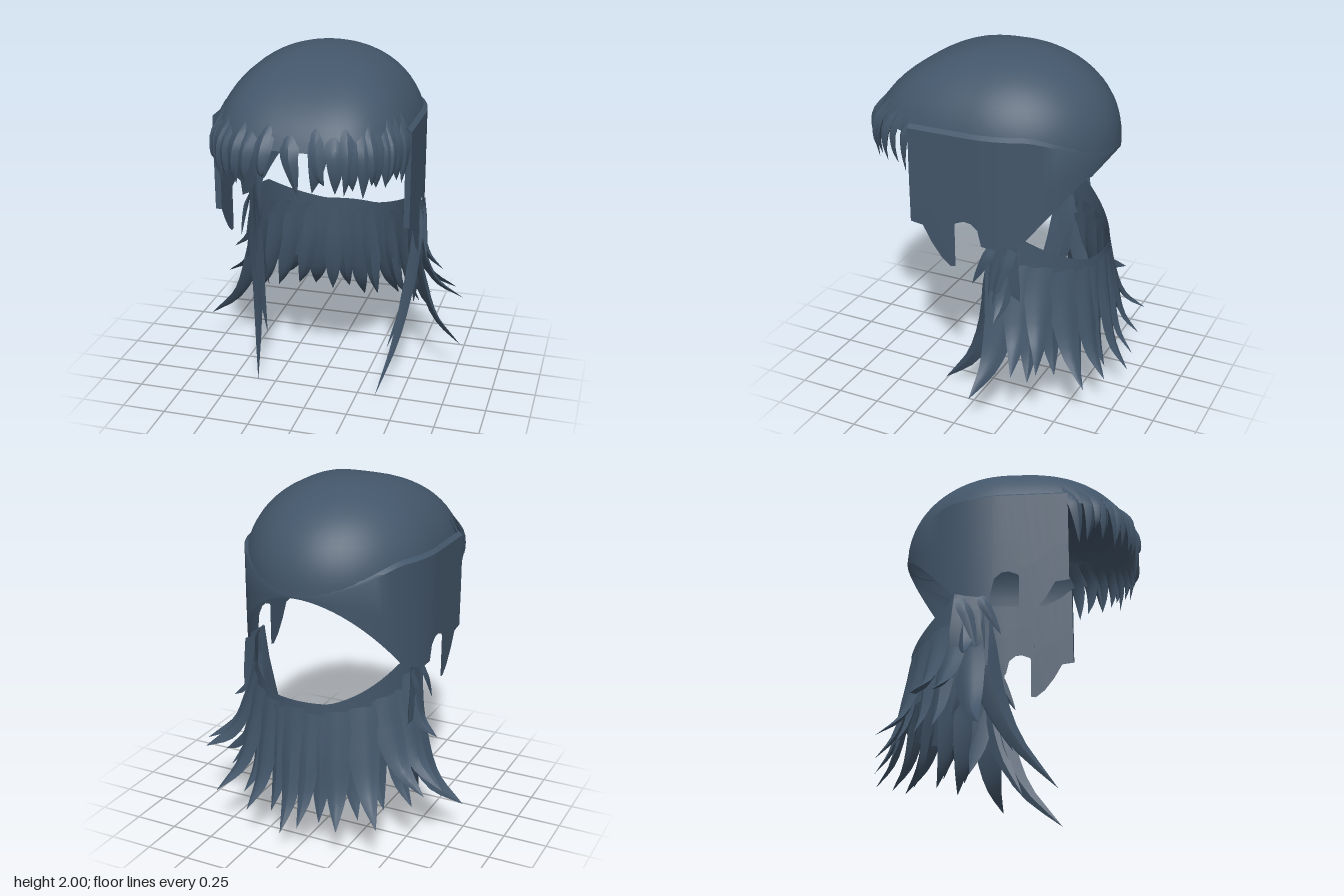
import * as THREE from 'three';
import { toCreasedNormals } from 'three/addons/utils/BufferGeometryUtils.js';

const V = (x, y, z) => new THREE.Vector3(x, y, z);
const { lerp, clamp } = THREE.MathUtils;
const hair = new THREE.MeshStandardMaterial({ color: 0x43566a, side: THREE.DoubleSide });
hair.name = 'slate blue hair';

// small seeded random
let seed = 7;
const rnd = () => (seed = (seed * 16807) % 2147483647) / 2147483647;

// head outline seen from above; angle 0 = front, +90 degrees = +x
function outline(a, k, y) {
  const s = Math.sin(a), c = Math.cos(a), n = c > 0 ? 3 : 2;
  return V(0.55 * k * Math.sign(s) * Math.abs(s) ** (2 / n), y,
    (c > 0 ? 0.735 : 0.62) * k * Math.sign(c) * Math.abs(c) ** (2 / n));
}
// dome roundness: fuller at the sides, flatter towards the forehead
const power = c => 2.15 - (c > 0 ? 0.25 : 0.05) * c * c;
function domeScale(y, c) {
  const p = power(c);
  return (1 - clamp((y - 1.5) / 0.5, 0, 1) ** p) ** (1 / p);
}
const domePoint = (a, y, k) => outline(a, k * domeScale(y, Math.cos(a)), y);

// surface through rows of points
function sheet(rows, crease = 0.7) {
  const pos = [], idx = [], w = rows[0].length;
  rows.forEach(r => r.forEach(p => pos.push(p.x, p.y, p.z)));
  for (let i = 0; i < rows.length - 1; i++) for (let j = 0; j < w - 1; j++) {
    const a = i * w + j, b = a + w;
    idx.push(a, b, a + 1, b, b + 1, a + 1);
  }
  const g = new THREE.BufferGeometry();
  g.setAttribute('position', new THREE.Float32BufferAttribute(pos, 3));
  g.setIndex(idx);
  return toCreasedNormals(g, crease);
}

// pointed lock of hair, thin at the root, with a ridged lens section swept along a curve
function lock(points, width, thick, out, taper) {
  const curve = new THREE.CatmullRomCurve3(points), rows = [], N = 10;
  for (let i = 0; i <= N; i++) {
    const t = i / N, c = curve.getPoint(t), tan = curve.getTangent(t);
    const side = tan.clone().cross(out).normalize();
    const nor = side.clone().cross(tan).normalize();
    const f = Math.max(0.004, 1 - t ** taper);
    const w = f * Math.min(1, 0.7 + t) * width / 2, h = f * Math.min(1, 0.1 + 2.5 * t) * thick / 2;
    const ring = [[1, 0], [0.45, 0.7], [0, 1], [-0.4, 0.6], [-1, 0], [0, -0.7], [1, 0]];
    rows.push(ring.map(([u, v]) => c.clone().addScaledVector(side, u * w).addScaledVector(nor, v * h)));
  }
  return sheet(rows, 0.6);
}

export function createModel() {
  const root = new THREE.Group();
  root.name = 'hair';
  const group = name => { const g = new THREE.Group(); g.name = name; root.add(g); return g; };
  const add = (parent, name, geo) => {
    const m = new THREE.Mesh(geo, hair); m.name = name; parent.add(m);
  };

  // crown dome, cut higher above the forehead
  const dome = [];
  for (let i = 0; i <= 16; i++) {
    const row = [];
    for (let j = 0; j <= 56; j++) {
      const a = j / 56 * Math.PI * 2, p = power(Math.cos(a));
      const end = 0.2 * clamp((outline(a, 1, 0).z - 0.2) / 0.15, 0, 1);
      const phi = i / 16 * Math.acos(end ** (p / 2));
      row.push(outline(a, Math.sin(phi) ** (2 / p), 1.5 + 0.5 * Math.max(0, Math.cos(phi)) ** (2 / p)));
    }
    dome.push(row);
  }
  add(root, 'crown', sheet(dome, 1));

  // side panels with a front lip, pointed sideburn, ear arch and sloped rear edge
  const edge = [[0.34, 1.1, 0.94], [0.345, 1.1], [0.27, 1.09], [0.22, 1.0], [0.16, 0.92], [0.105, 0.875],
    [0.075, 0.88], [0.1, 0.92], [0.1, 1.08], [0.07, 1.14], [0.02, 1.16], [-0.02, 1.155], [-0.06, 1.12],
    [-0.08, 1.03], [-0.15, 1.02], [-0.22, 1.04], [-0.3, 1.07]];
  for (let i = 1; i <= 14; i++) {
    const z = -0.62 * Math.sin(lerp(0.505, Math.PI / 2, i / 14));
    edge.push([z, 1.07 + (-0.3 - z) / 0.32 * 0.41]);
  }
  const panels = group('sidePanels');
  for (const s of [1, -1]) {
    const rows = [[], [], [], []];
    for (const [z, low, inset = 1] of edge) {
      const back = clamp(-z / 0.62, 0, 1);
      const x = 0.55 * inset * Math.sqrt(1 - back ** 2);
      const top = 1.65 - 0.15 * clamp((-z - 0.3) / 0.32, 0, 1) ** 1.5;
      const k = domeScale(top, -back) * 0.995;
      rows[0].push(V(s * x * k, top + 0.01, z * (z > 0 ? 1 : k)));
      rows[1].push(V(s * x * 1.002, top - 0.01, z * 1.002));
      rows[2].push(V(s * x * 1.002, lerp(top, low, 0.6), z * 1.002));
      rows[3].push(V(s * x, low, z));
    }
    add(panels, s > 0 ? 'leftPanel' : 'rightPanel', sheet(rows));
  }

  // fringe: locks growing out of the dome edge, thinner ones laid over them
  const fringe = group('fringe');
  const bang = (a, tipY, w, sway, k) => add(fringe, 'fringeLock', lock([
    domePoint(a, 1.73, k * 0.975), domePoint(a, 1.6, k), domePoint(a + sway * 0.4, 1.49, k),
    domePoint(a + sway, tipY, k * 0.98)], w, 0.05, outline(a, 1, 0).normalize(), 2));
  for (let i = 0; i < 17; i++) {
    const long = i === 7;
    bang((i / 8 - 1) * 1.18, long ? 1.3 : 1.35 + 0.06 * rnd(), long ? 0.13 : 0.115,
      long ? -0.03 : (rnd() - 0.5) * 0.1, 1);
  }
  for (let i = 0; i < 8; i++)
    bang(((i + 0.5) / 4 - 1) * 1.1, 1.38 + 0.08 * rnd(), 0.08, (rnd() - 0.5) * 0.16, 1.015);

  // nape sheet
  const nape = [];
  const napeTop = z => 1.07 - 0.19 * clamp((-z - 0.28) / 0.27, 0, 1);
  for (let i = 0; i <= 5; i++) {
    const row = [], t = i / 5;
    for (let j = 0; j <= 40; j++) {
      const a = lerp(1.72, Math.PI * 2 - 1.72, j / 40), p = outline(a, 0.93, 0);
      const low = lerp(0.62, 0.48, clamp((-p.z - 0.1) / 0.4, 0, 1));
      row.push(outline(a, 0.93 + 0.06 * t * t, lerp(napeTop(p.z), low, t)));
    }
    nape.push(row);
  }
  add(root, 'napeSheet', sheet(nape, 1));

  // flared nape locks: root angle, root height, tip, width
  const napeLocks = group('napeLocks');
  const flare = (a, y0, tip, w) => {
    const out = outline(a, 1, 0).normalize(), r = outline(a, 0.935, y0), dy = y0 - tip.y;
    const at = (h, v) => V(lerp(r.x, tip.x, h), y0 - dy * v, lerp(r.z, tip.z, h));
    add(napeLocks, 'napeLock', lock([r, at(0.14, 0.4), at(0.46, 0.78), tip], w, 0.07, out, 1.8));
  };
  const tips = [
    [1.92, 0.82, 0.78, 0.21, -0.11, 0.21], [1.95, 1.0, 0.65, 0.64, -0.2, 0.14],
    [2.05, 0.92, 0.75, 0.4, -0.35, 0.2], [2.25, 0.9, 0.69, 0.41, -0.47, 0.2],
    [2.15, 0.84, 0.58, 0.27, -0.37, 0.17], [2.48, 0.86, 0.5, 0.26, -0.67, 0.21],
    [2.35, 0.82, 0.46, 0.28, -0.48, 0.16], [2.74, 0.84, 0.28, 0.21, -0.71, 0.19],
    [2.6, 0.8, 0.36, 0.25, -0.6, 0.15], [2.9, 0.82, 0.15, 0.21, -0.66, 0.15]];
  for (const s of [1, -1]) for (const [a, y0, x, y, z, w] of tips) flare(s * a, y0, V(s * x, y, z), w);
  flare(Math.PI - 0.06, 0.84, V(0.04, 0.15, -0.76), 0.17);
  flare(Math.PI + 0.12, 0.82, V(-0.06, 0.2, -0.75), 0.15);

  // long locks falling in front of the ears, with short wisps
  const sideLocks = group('sideLocks');
  for (const s of [1, -1]) {
    const out = V(s, 0, 0.25).normalize();
    const strand = (pts, w, th, name) =>
      add(sideLocks, name, lock(pts.map(([x, y, z]) => V(s * x, y, z)), w, th, out, 2.6));
    strand([[0.5, 1.07, -0.16], [0.495, 0.8, -0.13], [0.455, 0.5, -0.07], [0.42, 0.25, 0.04], [0.355, 0, 0.26]],
      0.16, 0.09, 'longLock');
    strand([[0.5, 1.0, -0.18], [0.48, 0.75, -0.16], [0.44, 0.45, -0.09], [0.37, 0.2, 0.03]],
      0.13, 0.08, 'innerLock');
    strand([[0.5, 1.05, -0.22], [0.5, 0.8, -0.22], [0.48, 0.55, -0.24], [0.46, 0.36, -0.29]],
      0.17, 0.06, 'rearLock');
    strand([[0.52, 1.03, -0.14], [0.535, 0.93, -0.09], [0.54, 0.79, -0.02]], 0.07, 0.035, 'wisp');
    strand([[0.51, 1.03, -0.25], [0.53, 0.9, -0.2], [0.56, 0.7, -0.15]], 0.09, 0.04, 'wisp');
  }
  return root;
}
